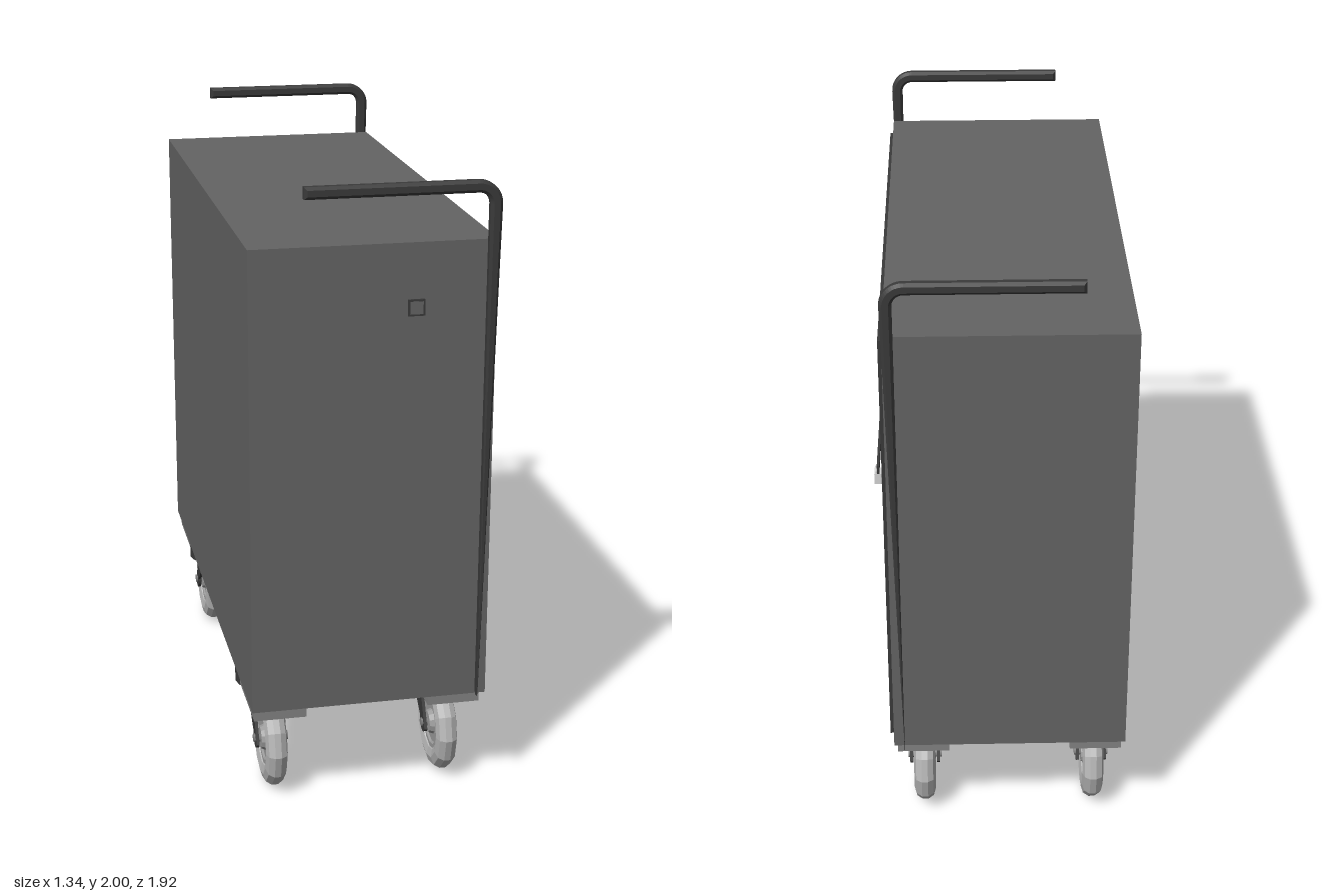
import * as THREE from 'three';

const mat = (name, color, extra = {}) => {
  const m = new THREE.MeshStandardMaterial({ color, ...extra });
  m.name = name;
  return m;
};

export function createModel() {
  const root = new THREE.Group();
  root.name = 'toolCart';
  const cart = new THREE.Group();
  cart.name = 'cart';
  cart.rotation.y = 0.374; // the cart stands turned on the floor
  root.add(cart);

  const body = mat('bodyGrey', 0x646464);
  const dark = mat('darkSteel', 0x3a3a3a);
  const plateGrey = mat('plateGrey', 0x828282);
  const tyreGrey = mat('tyreGrey', 0xb4b4b4, { flatShading: true });
  const rimGrey = mat('rimGrey', 0x9c9c9c, { flatShading: true });
  const lockMetal = mat('lockMetal', 0xd6d6d6);

  const add = (name, geo, material, parent = cart) => {
    const m = new THREE.Mesh(geo, material);
    m.name = name;
    parent.add(m);
    return m;
  };
  // box given by its lower and upper bounds
  const box = (name, material, x0, x1, y0, y1, z0, z1, parent = cart) => {
    const m = add(name, new THREE.BoxGeometry(x1 - x0, y1 - y0, z1 - z0), material, parent);
    m.position.set((x0 + x1) / 2, (y0 + y1) / 2, (z0 + z1) / 2);
    return m;
  };

  // cabinet
  const faceX = 0.358;
  box('cabinet', body, -0.385, faceX, 0.355, 1.82, -0.857, 0.884);

  // doors and the dark frame around them
  const proud = faceX + 0.012;
  box('doorFront', body, faceX - 0.01, faceX + 0.006, 0.414, 1.757, 0.052, 0.836);
  box('doorRear', body, faceX - 0.01, faceX + 0.006, 0.414, 1.757, -0.812, -0.022);
  box('frameTop', dark, faceX - 0.01, proud, 1.757, 1.79, -0.82, 0.844);
  box('frameBottom', dark, faceX - 0.01, proud, 0.377, 0.414, -0.82, 0.844);
  box('frameCentre', dark, faceX - 0.01, proud, 0.414, 1.757, -0.022, 0.052);
  box('frameSideFront', dark, faceX - 0.01, proud, 0.414, 1.757, 0.836, 0.844);
  box('frameSideRear', dark, faceX - 0.01, proud, 0.414, 1.757, -0.82, -0.812);

  // locking bar, brackets and padlock
  box('lockBar', dark, 0.407, 0.415, 0.955, 0.993, -0.17, 0.25);
  box('barHinge', dark, faceX, 0.395, 0.945, 0.995, 0.18, 0.235);
  box('barHingeArm', dark, 0.38, 0.414, 0.945, 0.995, 0.215, 0.255);
  box('staple', dark, faceX, 0.392, 0.95, 0.995, -0.16, -0.105);
  box('latchKnob', dark, faceX, 0.385, 0.97, 1.03, -0.08, -0.05);
  box('padlock', lockMetal, 0.4, 0.424, 0.923, 0.962, -0.172, -0.128);
  const shackle = add('shackle', new THREE.TorusGeometry(0.014, 0.004, 6, 12, Math.PI), lockMetal);
  shackle.rotation.y = Math.PI / 2;
  shackle.position.set(0.418, 0.962, -0.15);

  // small socket on the end wall
  box('socketRim', dark, 0.089, 0.14, 1.6, 1.65, 0.88, 0.891);
  box('socketCover', body, 0.095, 0.134, 1.606, 1.644, 0.885, 0.894);

  // bent rail handles, one on each end
  const rail = new THREE.Shape();
  rail.moveTo(0.361, 0.355);
  rail.absarc(0.29, 1.929, 0.071, 0, Math.PI / 2, false);
  rail.lineTo(-0.225, 2);
  rail.lineTo(-0.225, 1.963);
  rail.absarc(0.29, 1.929, 0.034, Math.PI / 2, 0, true);
  rail.lineTo(0.324, 0.355);
  const railGeo = new THREE.ExtrudeGeometry(rail, {
    depth: 0.016, curveSegments: 6, bevelEnabled: true,
    bevelThickness: 0.009, bevelSize: 0.009, bevelOffset: -0.009, bevelSegments: 1,
  });
  railGeo.translate(0, 0, -0.008);
  add('handleFront', railGeo, dark).position.z = 0.901;
  add('handleRear', railGeo, dark).position.z = -0.875;

  // shared caster geometry, wheel axis along x
  const lathe = (pts) => new THREE.LatheGeometry(pts.map(p => new THREE.Vector2(...p)), 12).rotateZ(Math.PI / 2);
  const tyreGeo = lathe([[0.088, -0.02], [0.092, -0.028], [0.118, -0.035], [0.142, -0.028], [0.154, -0.01],
    [0.154, 0.01], [0.142, 0.028], [0.118, 0.035], [0.092, 0.028], [0.088, 0.02]]);
  const rimGeo = lathe([[0, -0.034], [0.036, -0.034], [0.042, -0.018], [0.07, -0.018], [0.076, -0.024], [0.092, -0.024],
    [0.092, 0.024], [0.076, 0.024], [0.07, 0.018], [0.042, 0.018], [0.036, 0.034], [0, 0.034]]);

  // fork cheek, drawn with the axle at the origin and the swivel behind it
  const cheek = new THREE.Shape();
  cheek.moveTo(-0.03, -0.012);
  cheek.absarc(0, 0, 0.032, Math.PI * 1.15, Math.PI * 2.1, false);
  cheek.lineTo(0.2, 0.15);
  cheek.lineTo(0.055, 0.15);
  const cheekGeo = new THREE.ExtrudeGeometry(cheek, { depth: 0.01, bevelEnabled: false, curveSegments: 6 });
  cheekGeo.translate(0, 0, -0.005).rotateY(Math.PI / 2); // shape x becomes -z

  // four casters, wheels trailing towards the ends
  for (const sx of [-1, 1]) for (const sz of [-1, 1]) {
    const c = new THREE.Group();
    c.name = `caster${sz > 0 ? 'Front' : 'Rear'}${sx > 0 ? 'Left' : 'Right'}`;
    c.position.set(-0.0135 + sx * 0.278, 0, 0.0105 + sz * 0.657);
    if (sz < 0) c.rotation.y = Math.PI;
    cart.add(c);
    box('mountPlate', plateGrey, -0.083, 0.083, 0.31, 0.356, -0.13, 0.185, c);
    const disc = add('swivel', new THREE.CylinderGeometry(0.092, 0.092, 0.05, 16), dark, c);
    disc.position.set(0, 0.327, -0.127);
    const wheel = new THREE.Group();
    wheel.name = 'wheel';
    wheel.position.y = 0.154;
    c.add(wheel);
    add('tyre', tyreGeo, tyreGrey, wheel);
    add('rim', rimGeo, rimGrey, wheel);
    for (const s of [-1, 1]) add('forkCheek', cheekGeo, dark, wheel).position.x = s * 0.045;
    add('axle', new THREE.CylinderGeometry(0.014, 0.014, 0.112, 6).rotateZ(Math.PI / 2), plateGrey, wheel);
  }
  return root;
}
